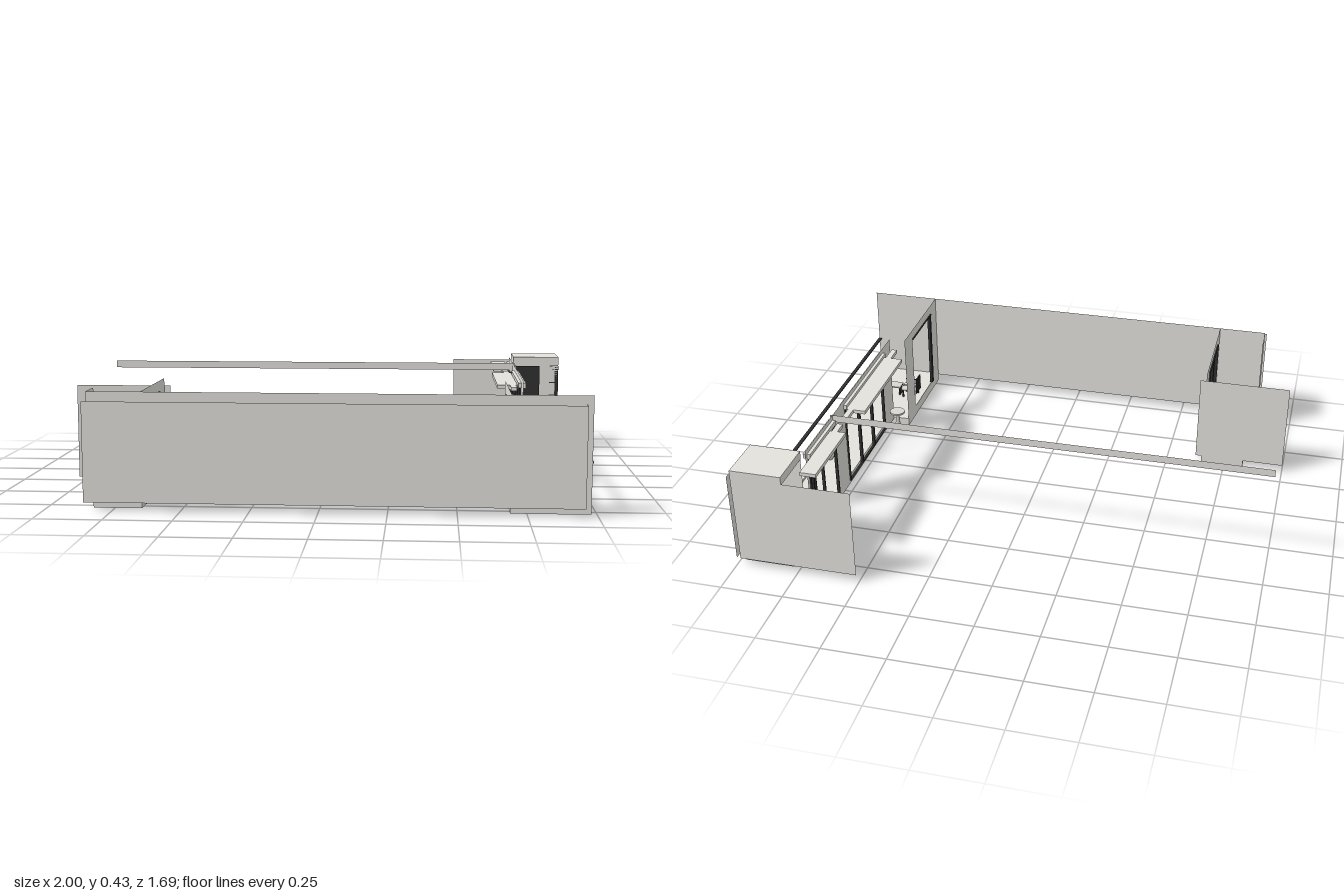
import * as THREE from 'three';
import { RoundedBoxGeometry } from 'three/addons/geometries/RoundedBoxGeometry.js';

export function createModel() {
  const root = new THREE.Group();
  const wall = new THREE.MeshStandardMaterial({ name: 'pale stone', color: 0xe3e2dd, side: THREE.DoubleSide });
  const dark = new THREE.MeshStandardMaterial({ name: 'dark metal', color: 0x303030 });
  const soft = new THREE.MeshStandardMaterial({ name: 'furniture grey', color: 0xd8d7d2 });

  const add = (name, geo, mat, x = 0, y = 0, z = 0, parent = root) => {
    const m = new THREE.Mesh(geo, mat);
    m.name = name;
    m.position.set(x, y, z);
    parent.add(m);
    return m;
  };
  // box from its limits on each axis
  const box = (name, mat, x0, x1, y0, y1, z0, z1, parent) =>
    add(name, new THREE.BoxGeometry(x1 - x0, y1 - y0, z1 - z0), mat,
      (x0 + x1) / 2, (y0 + y1) / 2, (z0 + z1) / 2, parent);
  // open panel facing z
  const panelZ = (name, x0, x1, y0, y1, z) =>
    add(name, new THREE.PlaneGeometry(x1 - x0, y1 - y0), wall, (x0 + x1) / 2, (y0 + y1) / 2, z);
  // open panel facing x, with rectangular openings [z0, z1]
  const panelX = (name, x, y0, y1, z0, z1, holes = []) => {
    const rect = (S, a, b, c, d) => new S([[a, c], [b, c], [b, d], [a, d]].map(p => new THREE.Vector2(...p)));
    const s = rect(THREE.Shape, -z1, -z0, y0, y1);
    for (const [a, b] of holes) s.holes.push(rect(THREE.Path, -b, -a, 0.045, 0.39));
    const m = add(name, new THREE.ShapeGeometry(s), wall, x);
    m.rotation.y = Math.PI / 2;
  };
  // window frame with mullions at the given z positions
  const windowFrame = (x, z0, z1, mullions) => {
    const g = new THREE.Group();
    g.name = 'windowFrame';
    root.add(g);
    box('headRail', dark, x - 0.005, x + 0.005, 0.38, 0.389, z0, z1, g);
    box('bottomRail', dark, x - 0.005, x + 0.005, 0.043, 0.047, z0, z1, g);
    for (const z of [z0 + 0.002, z1 - 0.002, ...mullions])
      box('mullion', dark, x - 0.006, x + 0.006, 0.045, 0.389, z - 0.003, z + 0.003, g);
  };

  // floor slabs
  box('balconySlab', wall, 0.78, 0.98, 0, 0.035, -0.635, 0.79);
  box('balconySlabWing', wall, 0.69, 0.78, 0, 0.035, 0.335, 0.79);
  box('smallBalconySlab', wall, -0.83, -0.65, 0, 0.035, 0.335, 0.79);
  box('towerSlab', wall, 0.78, 0.98, 0, 0.03, -0.81, -0.65);
  box('balconyLip', wall, 0.955, 0.98, 0.035, 0.045, -0.635, 0.79);

  // long front wall, inner and outer skins with end returns
  panelZ('frontInnerWall', -0.85, 0.98, 0.03, 0.4, 0.79);
  panelZ('frontFascia', -0.85, 0.98, 0.4, 0.43, 0.79);
  panelZ('frontOuterWall', -0.855, 0.955, 0.03, 0.4, 0.845);
  panelX('frontWallEnd', 0.955, 0.03, 0.4, 0.79, 0.845);
  panelX('frontWallReturn', -0.85, 0.03, 0.43, 0.675, 0.79);

  // back panels and the long fascia strip
  panelZ('leftBackPanel', 0.51, 0.985, 0.03, 0.4, -0.845);
  panelZ('rightBackPanel', -1, -0.625, 0.03, 0.4, 0.335);
  panelZ('fasciaStrip', -1, 0.77, 0.4, 0.43, -0.36);

  // window walls
  panelX('wingWindowWall', 0.69, 0.03, 0.43, 0.335, 0.79, [[0.44, 0.71]]);
  panelX('mainWindowWall', 0.76, 0.03, 0.43, -0.65, 0.335, [[-0.235, 0.21], [-0.63, -0.36]]);
  panelX('smallWindowWall', -0.65, 0.03, 0.43, 0.335, 0.79, [[0.44, 0.71]]);
  windowFrame(0.76, -0.235, 0.21, [0.068, 0.063, -0.082, -0.087]);
  windowFrame(0.76, -0.63, -0.36, [-0.5, -0.585, -0.605]);
  windowFrame(-0.65, 0.44, 0.71, [0.575, 0.547]);
  box('windowHeader', wall, 0.747, 0.777, 0.39, 0.41, -0.24, 0.24);
  box('windowHeader', wall, 0.747, 0.777, 0.39, 0.41, -0.635, -0.365);
  for (const z of [0.683, 0.695]) box('slidingFrame', dark, 0.684, 0.696, 0.045, 0.389, z - 0.004, z + 0.004);
  box('wingHeadRail', dark, 0.686, 0.694, 0.384, 0.389, 0.44, 0.71);

  // ceiling boxes behind the windows
  box('ceilingBox', wall, 0.665, 0.745, 0.385, 0.4, -0.25, 0.22);
  box('ceilingBox', wall, 0.68, 0.745, 0.385, 0.4, -0.75, -0.43);
  for (const [a, b] of [[-0.43, -0.37], [-0.32, -0.25], [0.22, 0.3]])
    box('ceilingBoxEnd', wall, 0.715, 0.738, 0.385, 0.4, a, b);

  // handrails
  box('handrail', dark, 0.969, 0.984, 0.187, 0.192, -0.635, 0.79);
  box('smallHandrail', dark, -0.856, -0.844, 0.187, 0.192, 0.34, 0.675);

  // louvred tower
  box('towerRoof', wall, 0.78, 0.985, 0.395, 0.43, -0.845, -0.65);
  panelZ('towerSideWall', 0.78, 0.985, 0.03, 0.4, -0.655);
  box('towerScreen', dark, 0.785, 0.9, 0.045, 0.39, -0.652, -0.645);
  box('towerPost', wall, 0.955, 0.985, 0.03, 0.4, -0.82, -0.79);
  panelX('towerCornerStrip', 1, 0.03, 0.4, -0.845, -0.815);
  panelZ('towerCornerReturn', 0.985, 1, 0.03, 0.4, -0.815);
  for (let i = 0; i < 19; i++) {
    const y = 0.045 + i * 0.019;
    box('louvreSlat', dark, 0.945, 0.985, y, y + 0.005, -0.79, -0.655);
  }
  for (const z of [-0.79, -0.66]) box('louvreStile', dark, 0.97, 0.986, 0.045, 0.39, z, z + 0.005);

  // vases
  const profile = [[0, 0], [0.015, 0], [0.022, 0.018], [0.019, 0.034], [0.007, 0.048], [0.006, 0.06], [0.012, 0.076]]
    .map(p => new THREE.Vector2(...p));
  for (const z of [-0.46, -0.075]) add('vase', new THREE.LatheGeometry(profile, 20), wall, 0.915, 0.035, z);

  // woven chairs: seat, four legs and a slatted back
  const chair = (x, z, turn) => {
    const g = new THREE.Group();
    g.name = 'chair';
    g.position.set(x, 0.035, z);
    g.rotation.y = turn;
    root.add(g);
    add('seat', new RoundedBoxGeometry(0.074, 0.014, 0.062, 2, 0.006), soft, 0, 0.04, 0, g);
    for (const sx of [-1, 1]) for (const sz of [-1, 1])
      box('leg', dark, sx * 0.028 - 0.003, sx * 0.028 + 0.003, 0, 0.036, sz * 0.026 - 0.003, sz * 0.026 + 0.003, g);
    for (let i = 0; i < 8; i++) {
      const p = -0.028 + i * 0.008;
      box('backSlat', dark, 0.037, 0.04, 0.025, 0.095, p - 0.002, p + 0.002, g);
      box('backWeave', dark, 0.036, 0.041, 0.03 + i * 0.009, 0.034 + i * 0.009, -0.03, 0.03, g);
    }
    for (const s of [-1, 1]) box('armrest', dark, -0.03, 0.038, 0.064, 0.067, s * 0.032 - 0.002, s * 0.032 + 0.002, g);
  };
  chair(0.752, 0.555, Math.PI);
  chair(0.9, 0.555, 0);
  chair(-0.735, 0.555, 0);

  // low table between the chairs
  box('tableTop', soft, 0.795, 0.86, 0.075, 0.081, 0.53, 0.58);
  for (const x of [0.802, 0.853]) box('tableLeg', dark, x - 0.003, x + 0.003, 0.035, 0.075, 0.54, 0.57);

  // round side table
  add('sideTableTop', new THREE.CylinderGeometry(0.033, 0.033, 0.008, 24), soft, 0.715, 0.11, 0.26);
  add('sideTableStem', new THREE.CylinderGeometry(0.005, 0.012, 0.065, 12), soft, 0.715, 0.075, 0.26);

  // indoor armchair
  add('armchairSeat', new RoundedBoxGeometry(0.055, 0.04, 0.075, 2, 0.012), soft, 0.714, 0.07, -0.55);
  add('armchairBack', new RoundedBoxGeometry(0.02, 0.095, 0.075, 2, 0.009), soft, 0.692, 0.097, -0.55);
  for (const z of [-0.582, -0.518])
    add('armchairArm', new RoundedBoxGeometry(0.055, 0.06, 0.012, 2, 0.005), soft, 0.714, 0.08, z);

  return root;
}
